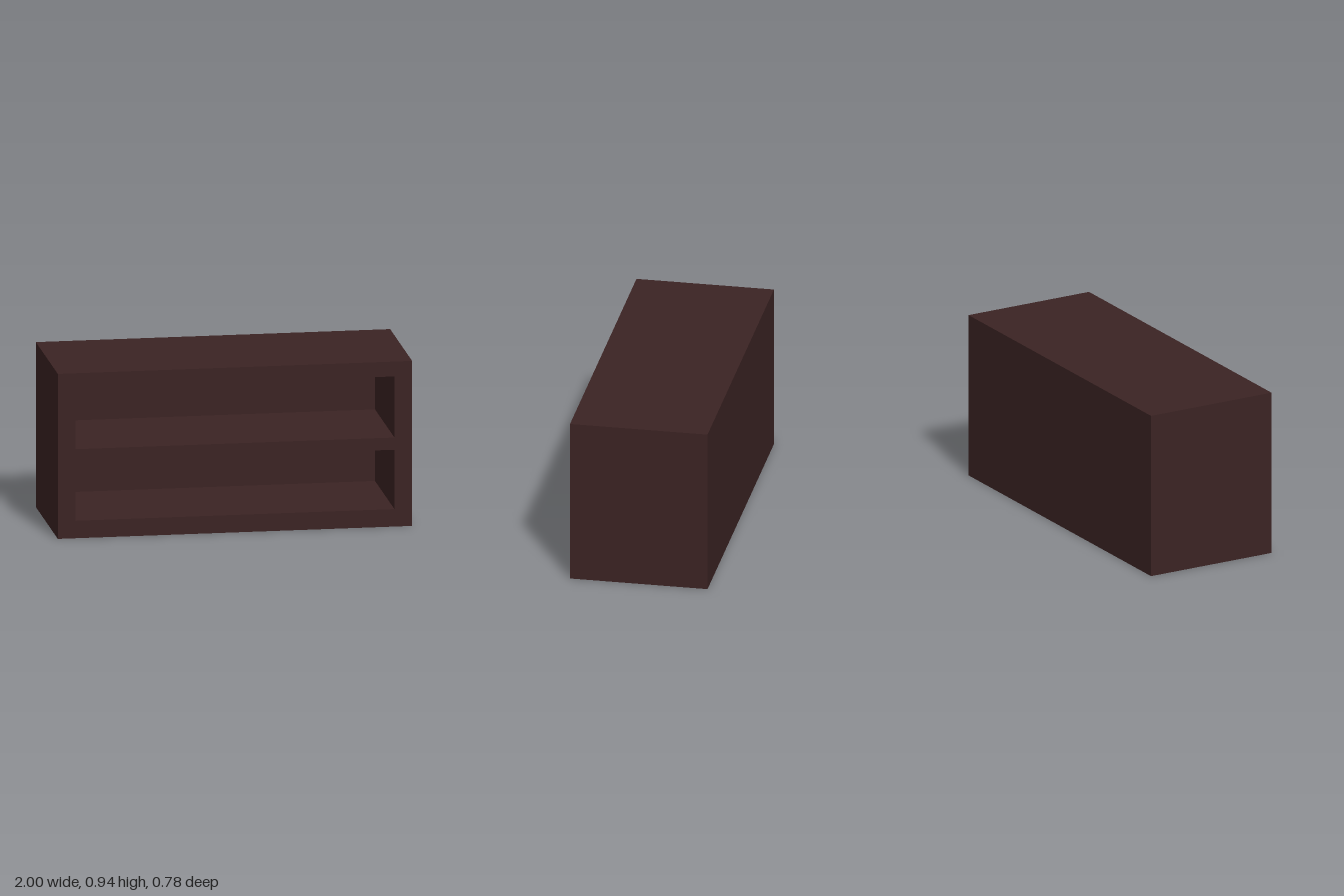
import * as THREE from 'three';

const W = 2, H = 0.945, D = 0.78, BACK = 0.09;
const OPENING_HALF = 0.9;
const OPENINGS = [[0.1, 0.44], [0.51, 0.86]];

// Rectangle outline from two corners
function rect(Type, x0, y0, x1, y1) {
  const p = new Type();
  p.moveTo(x0, y0);
  p.lineTo(x1, y0);
  p.lineTo(x1, y1);
  p.lineTo(x0, y1);
  p.closePath();
  return p;
}

export function createModel() {
  const group = new THREE.Group();
  group.name = 'openShelfCabinet';
  const darkWood = new THREE.MeshStandardMaterial({ color: 0x3b2323 });
  darkWood.name = 'darkWood';

  // Carcass: sides, top, base and middle shelf around two open bays
  const outline = rect(THREE.Shape, -W / 2, 0, W / 2, H);
  for (const [y0, y1] of OPENINGS) {
    outline.holes.push(rect(THREE.Path, -OPENING_HALF, y0, OPENING_HALF, y1));
  }
  const carcass = new THREE.Mesh(
    new THREE.ExtrudeGeometry(outline, { depth: D - BACK, bevelEnabled: false }), darkWood);
  carcass.name = 'carcass';
  carcass.position.z = -D / 2 + BACK;
  group.add(carcass);

  // Closed back panel
  const back = new THREE.Mesh(new THREE.BoxGeometry(W, H, BACK), darkWood);
  back.name = 'backPanel';
  back.position.set(0, H / 2, -D / 2 + BACK / 2);
  group.add(back);

  return group;
}
